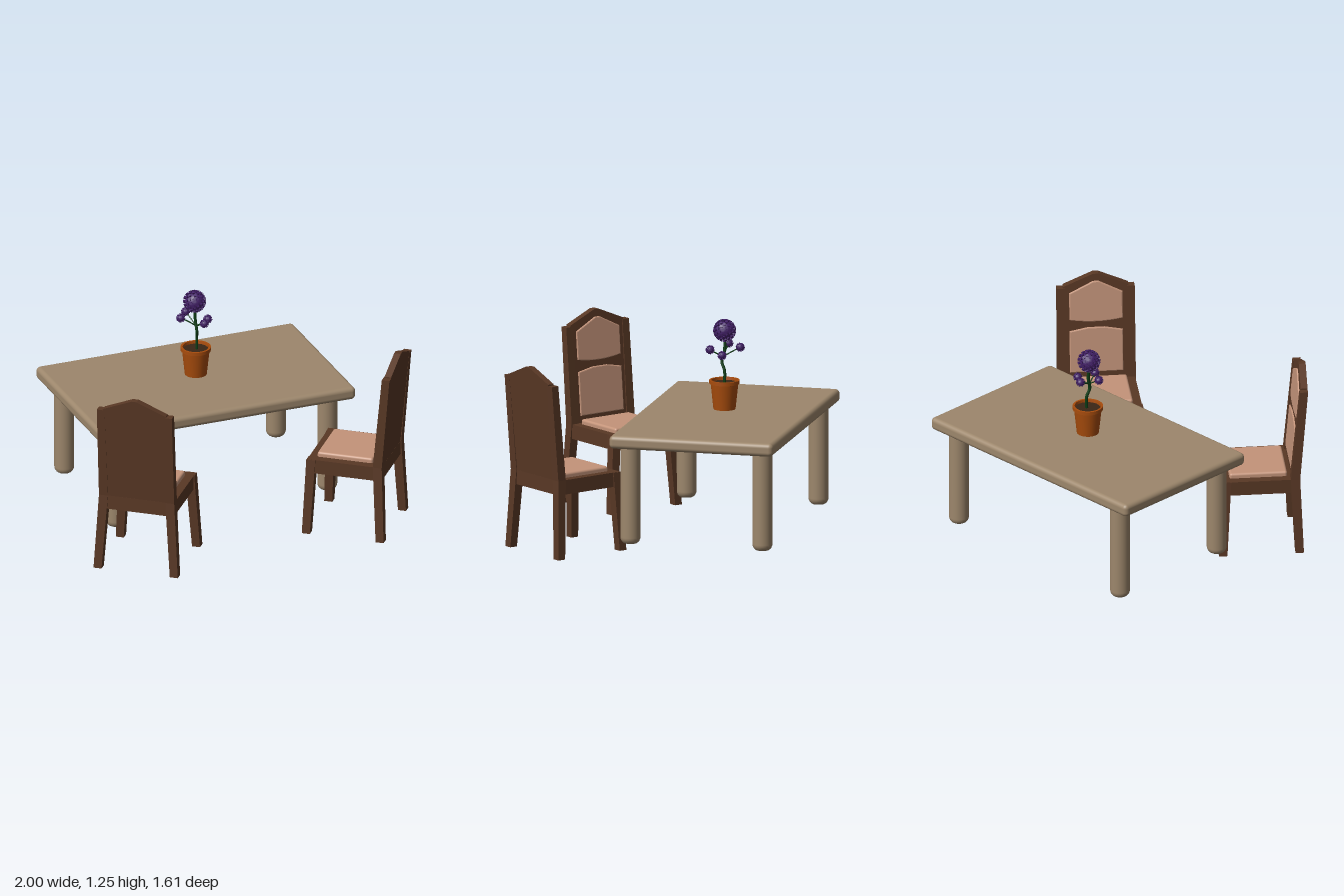
import * as THREE from 'three';
import { mergeGeometries } from 'three/addons/utils/BufferGeometryUtils.js';
import { RoundedBoxGeometry } from 'three/addons/geometries/RoundedBoxGeometry.js';

const paint = (name, color) => {
  const m = new THREE.MeshStandardMaterial({ color });
  m.name = name;
  return m;
};
const MAT = {
  table: paint('pale wood', 0x9d876c),
  chair: paint('dark wood', 0x593825),
  cushion: paint('tan fabric', 0xc4947a),
  pot: paint('terracotta', 0xa84c0c),
  soil: paint('soil', 0x3b2616),
  stem: paint('stem green', 0x0c3d14),
  bloom: paint('purple', 0x432068),
};

function add(parent, name, geometry, material, x = 0, y = 0, z = 0) {
  const mesh = new THREE.Mesh(geometry, material);
  mesh.name = name;
  mesh.position.set(x, y, z);
  parent.add(mesh);
  return mesh;
}

// Square bar running from a bottom centre to a top centre, with level ends
function bar(bottom, top, sizeBottom, sizeTop) {
  const g = new THREE.BoxGeometry(1, 1, 1);
  const p = g.attributes.position;
  for (let i = 0; i < p.count; i++) {
    const [c, s] = p.getY(i) > 0 ? [top, sizeTop] : [bottom, sizeBottom];
    p.setXYZ(i, c[0] + p.getX(i) * s, c[1], c[2] + p.getZ(i) * s);
  }
  g.computeVertexNormals();
  return g;
}

// Outline with straight sides and a peaked top
function peaked(halfWidth, y0, yShoulder, yPeak, halfFlat, sag = 0) {
  const s = new THREE.Shape();
  s.moveTo(-halfWidth, y0);
  s.quadraticCurveTo(0, y0 - sag, halfWidth, y0);
  s.lineTo(halfWidth, yShoulder);
  s.lineTo(halfFlat, yPeak);
  s.lineTo(-halfFlat, yPeak);
  s.lineTo(-halfWidth, yShoulder);
  s.closePath();
  return s;
}

// Upright slab that leans back above the seat
const SEAT = 0.46;
function leaning(shape, depth, zBack, bevel = 0) {
  const g = new THREE.ExtrudeGeometry(shape, {
    depth, curveSegments: 8, bevelEnabled: bevel > 0,
    bevelSize: bevel, bevelThickness: bevel, bevelOffset: -bevel, bevelSegments: 2,
  });
  g.translate(0, 0, zBack);
  const p = g.attributes.position;
  for (let i = 0; i < p.count; i++) {
    p.setZ(i, p.getZ(i) - 0.09 * (p.getY(i) - SEAT));
  }
  g.computeVertexNormals();
  return g;
}

// Chair facing +z
function makeChair(name) {
  const chair = new THREE.Group();
  chair.name = name;
  add(chair, 'seatFrame', new THREE.BoxGeometry(0.445, 0.085, 0.445), MAT.chair, 0, 0.4175, 0);
  for (const s of [-1, 1]) {
    add(chair, 'frontLeg', bar([s * 0.23, 0, 0.222], [s * 0.2, SEAT - 0.001, 0.2], 0.048, 0.054), MAT.chair);
    add(chair, 'rearLeg', bar([s * 0.23, 0, -0.222], [s * 0.2, SEAT, -0.2], 0.048, 0.054), MAT.chair);
    add(chair, 'backPost', bar([s * 0.2, SEAT, -0.2], [s * 0.203, 1.022, -0.25], 0.054, 0.046), MAT.chair);
  }
  add(chair, 'backrest', leaning(peaked(0.19, 0.45, 1.03, 1.103, 0.016), 0.04, -0.222), MAT.chair);
  add(chair, 'lowerBackPad', leaning(peaked(0.155, 0.5, 0.755, 0.775, 0.05), 0.004, -0.184, 0.006), MAT.cushion);
  add(chair, 'upperBackPad', leaning(peaked(0.155, 0.825, 0.99, 1.06, 0.016, 0.03), 0.004, -0.184, 0.006), MAT.cushion);
  add(chair, 'seatCushion', new RoundedBoxGeometry(0.345, 0.05, 0.335, 3, 0.014), MAT.cushion, 0, 0.464, 0.01);
  return chair;
}

function makeTable() {
  const table = new THREE.Group();
  table.name = 'table';
  const cx = -0.037, cz = -0.323;
  add(table, 'tableTop', new RoundedBoxGeometry(1.605, 0.077, 0.975, 4, 0.026), MAT.table, cx, 0.6625, cz);
  add(table, 'undersidePanel', new THREE.BoxGeometry(1.08, 0.006, 0.56), MAT.table, cx, 0.6235, cz);
  // Round leg with a softened foot
  const profile = [new THREE.Vector2(0, 0.045)];
  for (let i = 0; i <= 5; i++) {
    const a = (i / 5) * Math.PI / 2;
    profile.push(new THREE.Vector2(0.028 + 0.03 * Math.sin(a), 0.083 - 0.038 * Math.cos(a)));
  }
  profile.push(new THREE.Vector2(0.058, 0.63));
  const leg = new THREE.LatheGeometry(profile, 24);
  for (const sx of [-1, 1]) for (const sz of [-1, 1]) {
    add(table, 'tableLeg', leg, MAT.table, cx + sx * 0.66, 0, cz + sz * 0.393);
  }
  return table;
}

// Ball of small blunt petals spread evenly over a core
function pompom(radius, count, petal) {
  const parts = [new THREE.IcosahedronGeometry(radius * 0.84, 2)];
  const up = new THREE.Vector3(0, 1, 0);
  for (let i = 0; i < count; i++) {
    const y = 1 - (2 * (i + 0.5)) / count, r = Math.sqrt(1 - y * y), a = i * 2.39996;
    const d = new THREE.Vector3(r * Math.cos(a), y, r * Math.sin(a));
    const g = new THREE.CylinderGeometry(petal, petal * 0.5, radius * 0.3, 6).toNonIndexed();
    g.applyQuaternion(new THREE.Quaternion().setFromUnitVectors(up, d));
    g.translate(d.x * radius * 0.85, d.y * radius * 0.85, d.z * radius * 0.85);
    parts.push(g);
  }
  return mergeGeometries(parts);
}

function makePlant() {
  const plant = new THREE.Group();
  plant.name = 'pottedPlant';
  const px = -0.037, pz = -0.323;
  const V = (x, y, z) => new THREE.Vector3(x, y, z);
  const pot = [[0, 0.722], [0.064, 0.722], [0.08, 0.87], [0.088, 0.872], [0.088, 0.893],
    [0.076, 0.893], [0.072, 0.86]];
  // Doubled points keep the rim edges crisp
  const crisp = pot.flatMap(([x, y]) => [new THREE.Vector2(x, y), new THREE.Vector2(x, y)]);
  add(plant, 'pot', new THREE.LatheGeometry(crisp, 28), MAT.pot, px, 0, pz);
  add(plant, 'soil', new THREE.CylinderGeometry(0.075, 0.073, 0.01, 24), MAT.soil, px, 0.872, pz);
  const stem = new THREE.CatmullRomCurve3([V(-0.03, 0.87, -0.325), V(-0.03, 0.95, -0.325),
    V(-0.037, 1.0, -0.307), V(-0.04, 1.06, -0.322), V(-0.045, 1.16, -0.322)]);
  add(plant, 'stem', new THREE.TubeGeometry(stem, 24, 0.009, 8), MAT.stem);
  add(plant, 'mainBloom', pompom(0.066, 90, 0.0095), MAT.bloom, -0.045, 1.183, -0.322);
  const small = pompom(0.026, 32, 0.0055);
  const blooms = [[-0.13, 1.09, -0.325], [-0.065, 1.084, -0.41], [-0.016, 1.07, -0.243], [0.04, 1.052, -0.328]];
  for (const b of blooms) {
    const end = V(...b), root = V(-0.039, 1.03, -0.315);
    const bend = root.clone().lerp(end, 0.6).setY(b[1] - 0.02);
    const curve = new THREE.QuadraticBezierCurve3(root, bend, end);
    add(plant, 'twig', new THREE.TubeGeometry(curve, 8, 0.004, 6), MAT.stem);
    add(plant, 'smallBloom', small, MAT.bloom, ...b);
  }
  return plant;
}

export function createModel() {
  const model = new THREE.Group();
  model.name = 'diningSet';
  model.add(makeTable(), makePlant());
  const rightChair = makeChair('rightChair');
  rightChair.position.set(-0.649, 0, 0.447);
  rightChair.rotation.y = Math.atan2(0.629, -0.777);
  const leftChair = makeChair('leftChair');
  leftChair.position.set(0.641, 0, 0.45);
  leftChair.rotation.y = Math.atan2(-0.782, -0.623);
  model.add(rightChair, leftChair);
  return model;
}
